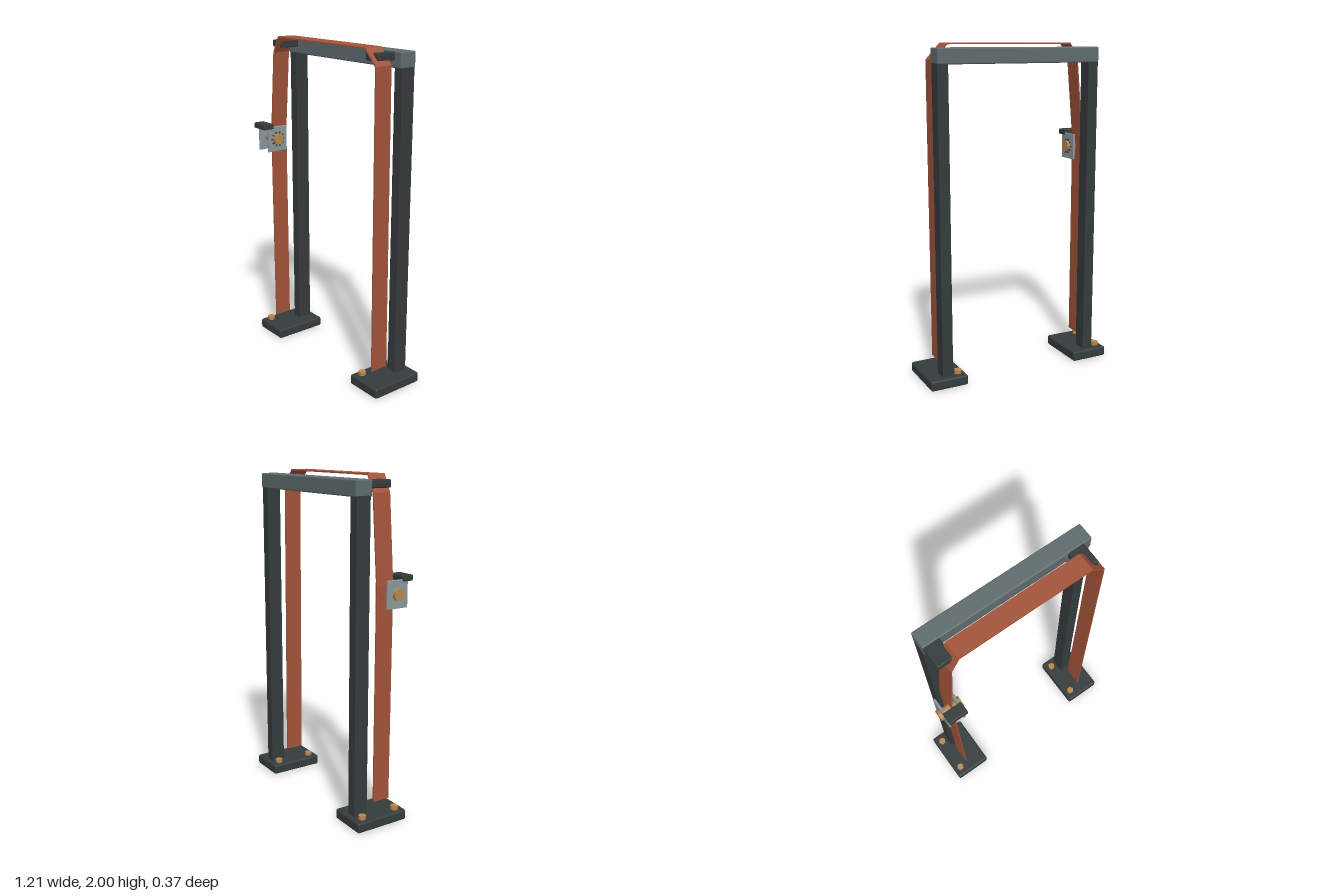
import * as THREE from 'three';
import { RoundedBoxGeometry } from 'three/addons/geometries/RoundedBoxGeometry.js';

const material = (name, color) => {
  const m = new THREE.MeshStandardMaterial({ color });
  m.name = name;
  return m;
};

// Box given by its min and max corners, with small eased edges
function block(parent, name, mat, [x0, y0, z0], [x1, y1, z1], r) {
  const geo = new RoundedBoxGeometry(x1 - x0, y1 - y0, z1 - z0, 2, r);
  const mesh = new THREE.Mesh(geo, mat);
  mesh.name = name;
  mesh.position.set((x0 + x1) / 2, (y0 + y1) / 2, (z0 + z1) / 2);
  parent.add(mesh);
  return mesh;
}

// Cylinder lying along x
function pin(parent, name, mat, x0, x1, y, z, r, sides) {
  const mesh = new THREE.Mesh(new THREE.CylinderGeometry(r, r, x1 - x0, sides), mat);
  mesh.name = name;
  mesh.rotation.z = Math.PI / 2;
  mesh.position.set((x0 + x1) / 2, y, z);
  parent.add(mesh);
}

// Flat band following points [x, y, zBack, zFront], with mitred bends
function bandGeometry(points, thickness) {
  const pos = [], index = [], n = points.length;
  const direction = (a, b) => new THREE.Vector2(b[0] - a[0], b[1] - a[1]).normalize();
  points.forEach((p, i) => {
    const a = direction(points[Math.max(i - 1, 0)], points[Math.max(i, 1)]);
    const b = direction(points[Math.min(i, n - 2)], points[Math.min(i + 1, n - 1)]);
    const t = a.clone().add(b).normalize();
    const h = thickness / 2 / t.dot(a);
    const nx = -t.y * h, ny = t.x * h;
    const [x, y, z0, z1] = p;
    pos.push(x + nx, y + ny, z0, x + nx, y + ny, z1, x - nx, y - ny, z1, x - nx, y - ny, z0);
    if (i === n - 1) return;
    for (let k = 0; k < 4; k++) {
      const c = i * 4 + k, d = i * 4 + (k + 1) % 4;
      index.push(c, d, d + 4, c, d + 4, c + 4);
    }
  });
  const e = (n - 1) * 4;
  index.push(0, 2, 1, 0, 3, 2, e, e + 1, e + 2, e, e + 2, e + 3);
  const geo = new THREE.BufferGeometry();
  geo.setAttribute('position', new THREE.Float32BufferAttribute(pos, 3));
  geo.setIndex(index);
  const flat = geo.toNonIndexed();
  flat.computeVertexNormals();
  return flat;
}

export function createModel() {
  const model = new THREE.Group();
  model.name = 'strapFrame';
  const dark = material('darkSteel', 0x353b3c);
  const grey = material('greyBeam', 0x5f6c6e);
  const rust = material('rustWebbing', 0xa3543a);
  rust.side = THREE.DoubleSide;
  const brass = material('brass', 0xb8894d);
  const steel = material('paleSteel', 0x8c989c);

  // Feet, posts and foot bolts
  for (const [side, x] of [['right', -0.487], ['left', 0.487]]) {
    const leg = new THREE.Group();
    leg.name = side + 'Leg';
    leg.position.x = x;
    block(leg, 'footPlate', dark, [-0.118, 0, -0.187], [0.118, 0.062, 0.155], 0.012);
    block(leg, 'post', dark, [-0.033, 0.05, -0.157], [0.033, 1.895, -0.068], 0.005);
    for (const z of [-0.13, 0.1]) {
      const bolt = new THREE.Mesh(new THREE.CylinderGeometry(0.023, 0.023, 0.026, 6).toNonIndexed(), brass);
      bolt.geometry.computeVertexNormals();
      bolt.name = 'footBolt';
      bolt.rotation.y = Math.PI / 2;
      bolt.position.set(-0.073, 0.073, z);
      leg.add(bolt);
    }
    model.add(leg);
  }

  // Crossbeam and the guide brackets in front of it
  block(model, 'crossbeam', grey, [-0.52, 1.885, -0.163], [0.52, 1.976, -0.058], 0.008);
  block(model, 'rightGuide', dark, [-0.517, 1.928, -0.07], [-0.42, 1.972, 0.066], 0.006);
  block(model, 'leftGuide', dark, [0.368, 1.928, -0.07], [0.467, 1.972, 0.066], 0.006);

  // Webbing strap
  const strap = new THREE.Mesh(bandGeometry([
    [-0.505, 0.115, -0.015, 0.095],
    [-0.507, 1.4, -0.015, 0.097],
    [-0.462, 1.9, -0.014, 0.098],
    [-0.41, 1.996, -0.014, 0.098],
    [0.4, 1.996, -0.014, 0.098],
    [0.486, 1.905, -0.014, 0.096],
    [0.487, 0.11, -0.024, 0.09],
  ], 0.008), rust);
  strap.name = 'strap';
  model.add(strap);

  // Ratchet tensioner
  const ratchet = new THREE.Group();
  ratchet.name = 'ratchet';
  const hubY = 1.355, hubZ = 0.083;
  pin(ratchet, 'spool', brass, -0.58, -0.45, hubY, hubZ, 0.029, 20);
  pin(ratchet, 'outerSpoolHead', brass, -0.59, -0.568, hubY, hubZ, 0.034, 20);
  pin(ratchet, 'innerSpoolHead', brass, -0.462, -0.442, hubY, hubZ, 0.034, 20);
  for (const x of [-0.564, -0.467]) {
    block(ratchet, 'sidePlate', steel, [x - 0.007, 1.275, 0.013], [x + 0.007, 1.435, 0.153], 0.003);
  }
  // Teeth around the hub
  for (let i = 0; i < 10; i++) {
    const a = (i / 10) * Math.PI * 2;
    const y = hubY + Math.sin(a) * 0.042, z = hubZ + Math.cos(a) * 0.042;
    const tooth = block(ratchet, 'tooth', dark, [-0.465, y - 0.004, z - 0.006], [-0.453, y + 0.004, z + 0.006], 0.001);
    tooth.rotation.x = -a;
  }
  block(ratchet, 'handle', dark, [-0.574, 1.422, 0.115], [-0.456, 1.456, 0.186], 0.005);
  model.add(ratchet);

  return model;
}
